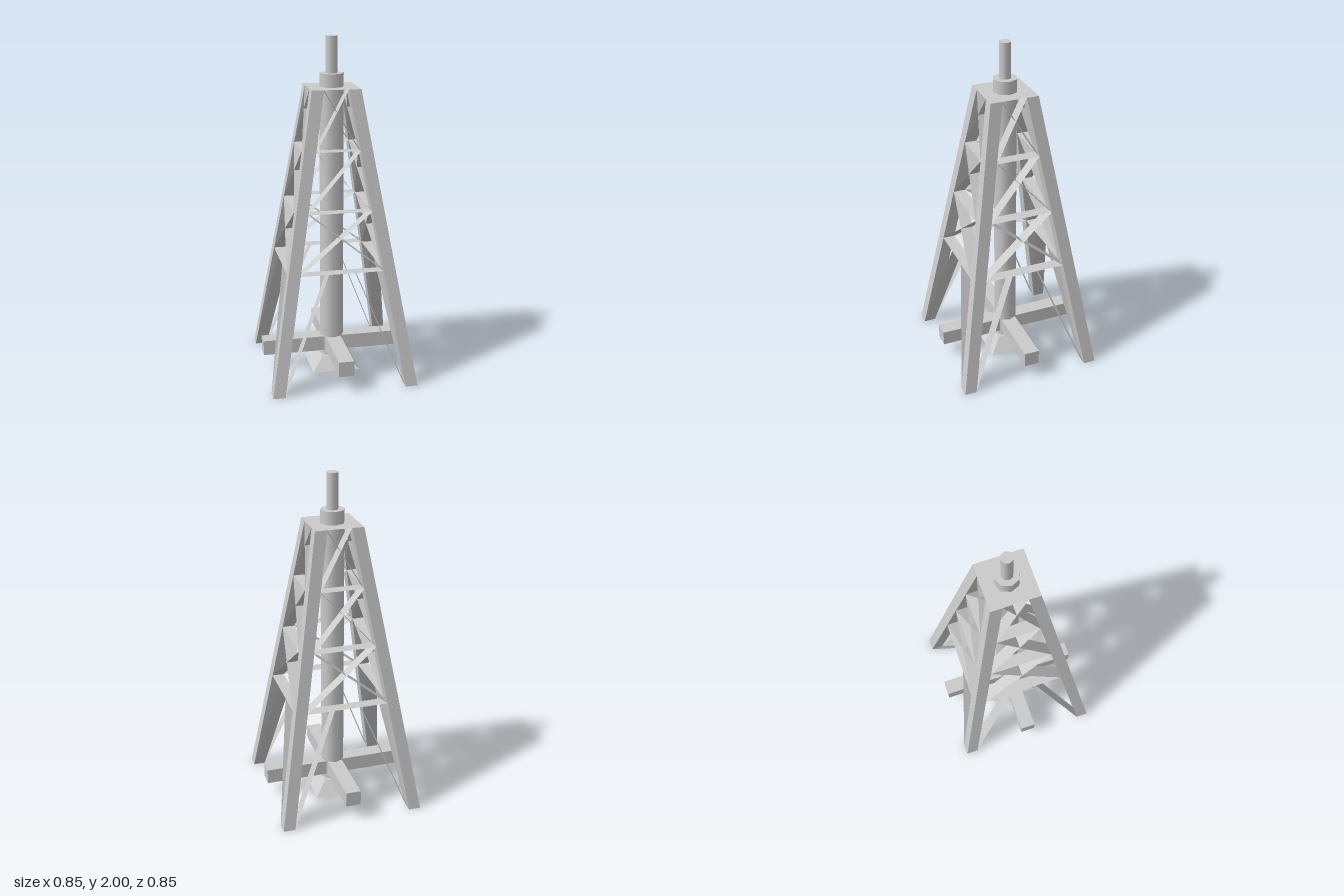
import * as THREE from 'three';

const H = 1.713;                       // height of the leg tops
const FOOT = 0.427, HEAD = 0.142, T = 0.071; // outer offset at foot and top, leg width

const steel = new THREE.MeshStandardMaterial({ color: 0xcccccc, flatShading: true });
const sheet = new THREE.MeshStandardMaterial({ color: 0xcccccc, flatShading: true, side: THREE.DoubleSide });
const round = new THREE.MeshStandardMaterial({ color: 0xcccccc });

// outer and inner offset of a leg at height y
const outer = (y) => FOOT + (HEAD - FOOT) * (y / H);
const inner = (y) => outer(y) - T;

function add(parent, name, geometry, material) {
  const mesh = new THREE.Mesh(geometry, material);
  mesh.name = name;
  parent.add(mesh);
  return mesh;
}

// leaning square leg: a box sheared towards the axis
function legGeometry() {
  const g = new THREE.BoxGeometry(T, H, T).translate(0, H / 2, 0);
  const p = g.attributes.position;
  for (let i = 0; i < p.count; i++) {
    const mid = outer(p.getY(i)) - T / 2;
    p.setX(i, p.getX(i) + mid);
    p.setZ(i, p.getZ(i) + mid);
  }
  g.computeVertexNormals();
  return g;
}

// flat strip between two legs, as deep as the legs
function stripGeometry(x0, y0, x1, y1) {
  const g = new THREE.PlaneGeometry(1, 1);
  g.attributes.position.copyArray([
    x0, y0, inner(y0), x1, y1, inner(y1),
    x0, y0, outer(y0), x1, y1, outer(y1),
  ]);
  g.computeVertexNormals();
  return g;
}

export function createModel() {
  const model = new THREE.Group();
  model.name = 'derrick';

  const levels = [0.4, 0.6, 0.8, 1].map((f) => f * H);

  // four legs and four braced sides
  for (let k = 0; k < 4; k++) {
    const side = new THREE.Group();
    side.name = 'towerSide';
    side.rotation.y = (k * Math.PI) / 2;
    model.add(side);

    add(side, 'leg', legGeometry(), steel);

    for (const s of [-1, 1]) {
      // foot braces up to the first crossbar
      add(side, 'footBrace', stripGeometry(s * inner(0), 0, s * 0.08, levels[0]), sheet);
      // crossed braces in each bay above
      for (let i = 0; i < 3; i++) {
        const a = levels[i], b = levels[i + 1];
        add(side, 'crossBrace', stripGeometry(-s * inner(a), a, s * inner(b), b), sheet);
      }
    }
    for (let i = 0; i < 3; i++) {
      const y = levels[i];
      add(side, 'crossbar', stripGeometry(-inner(y), y, inner(y), y), sheet);
    }
  }

  // thin top plate
  const plate = add(model, 'topPlate', new THREE.PlaneGeometry(2 * HEAD, 2 * HEAD), sheet);
  plate.rotation.x = -Math.PI / 2;
  plate.position.y = H;

  // central column and rod
  add(model, 'column', new THREE.CylinderGeometry(0.071, 0.071, 1.72, 8), round).position.y = 0.93;
  add(model, 'rod', new THREE.CylinderGeometry(0.035, 0.035, 0.21, 8), round).position.y = 1.895;

  // square tapered base
  const base = new THREE.CylinderGeometry(0.071 * Math.SQRT2, 0.142 * Math.SQRT2, 0.071, 4);
  base.rotateY(Math.PI / 4);
  add(model, 'base', base, steel).position.y = 0.0355;

  // crossed ground beams
  for (const turn of [0, Math.PI / 2]) {
    const beam = add(model, 'groundBeam', new THREE.BoxGeometry(2 * FOOT, 0.09, 0.09), steel);
    beam.position.y = 0.145;
    beam.rotation.y = turn;
  }

  return model;
}
